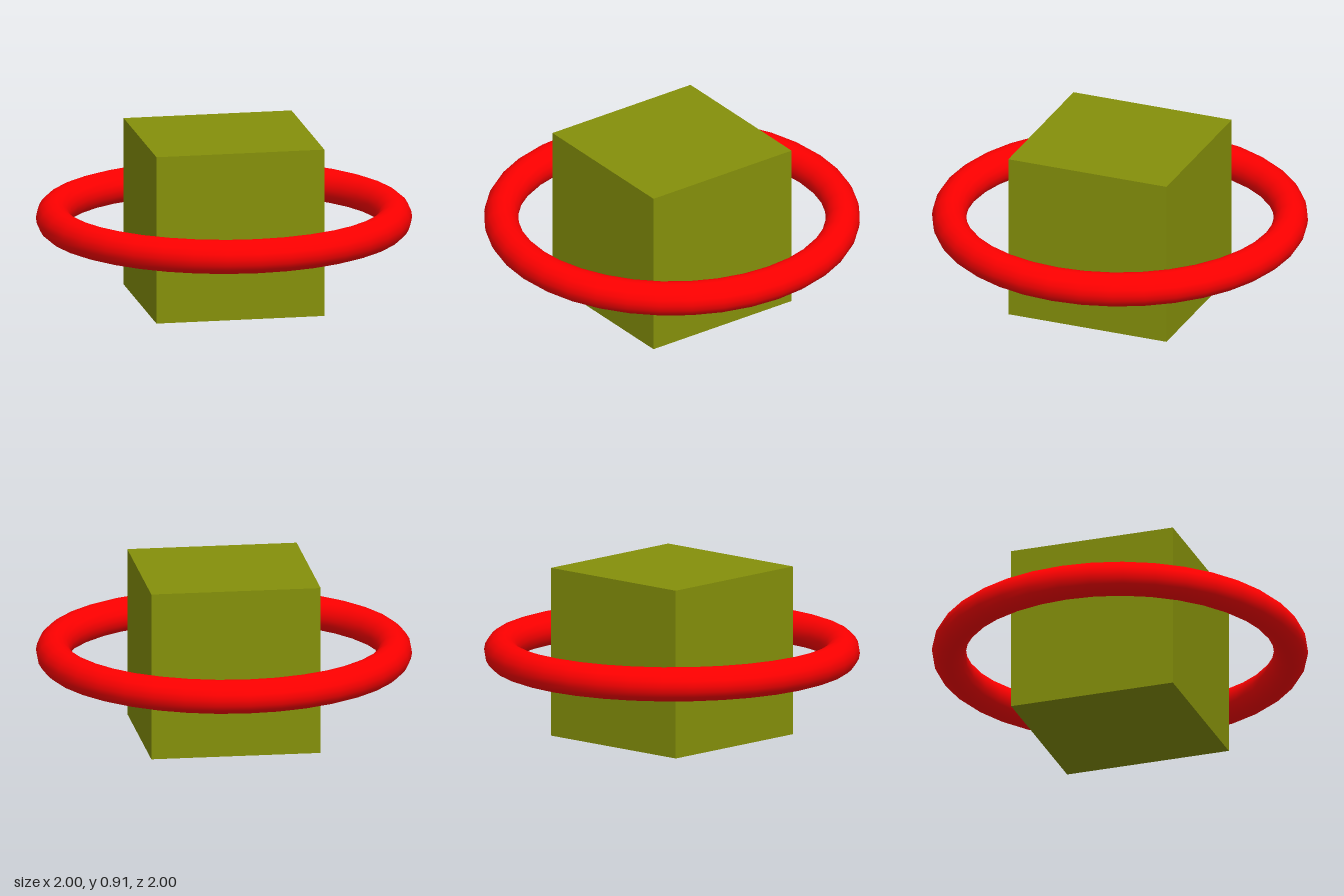
import * as THREE from 'three';

export function createModel() {
  const group = new THREE.Group();
  const size = 1 / 1.1; // cube edge, also the ring's centre-line radius

  // Solid cube standing on the ground
  const cube = new THREE.Mesh(
    new THREE.BoxGeometry(size, size, size),
    new THREE.MeshStandardMaterial({ color: 0x85900a })
  );
  cube.name = 'cube';
  cube.position.y = size / 2;
  group.add(cube);

  // Horizontal ring floating around the cube's middle
  const ring = new THREE.Mesh(
    new THREE.TorusGeometry(size, size / 10, 18, 36),
    new THREE.MeshStandardMaterial({ color: 0xff0000 })
  );
  ring.name = 'ring';
  ring.rotation.x = Math.PI / 2;
  ring.position.y = size / 2;
  group.add(ring);

  return group;
}
